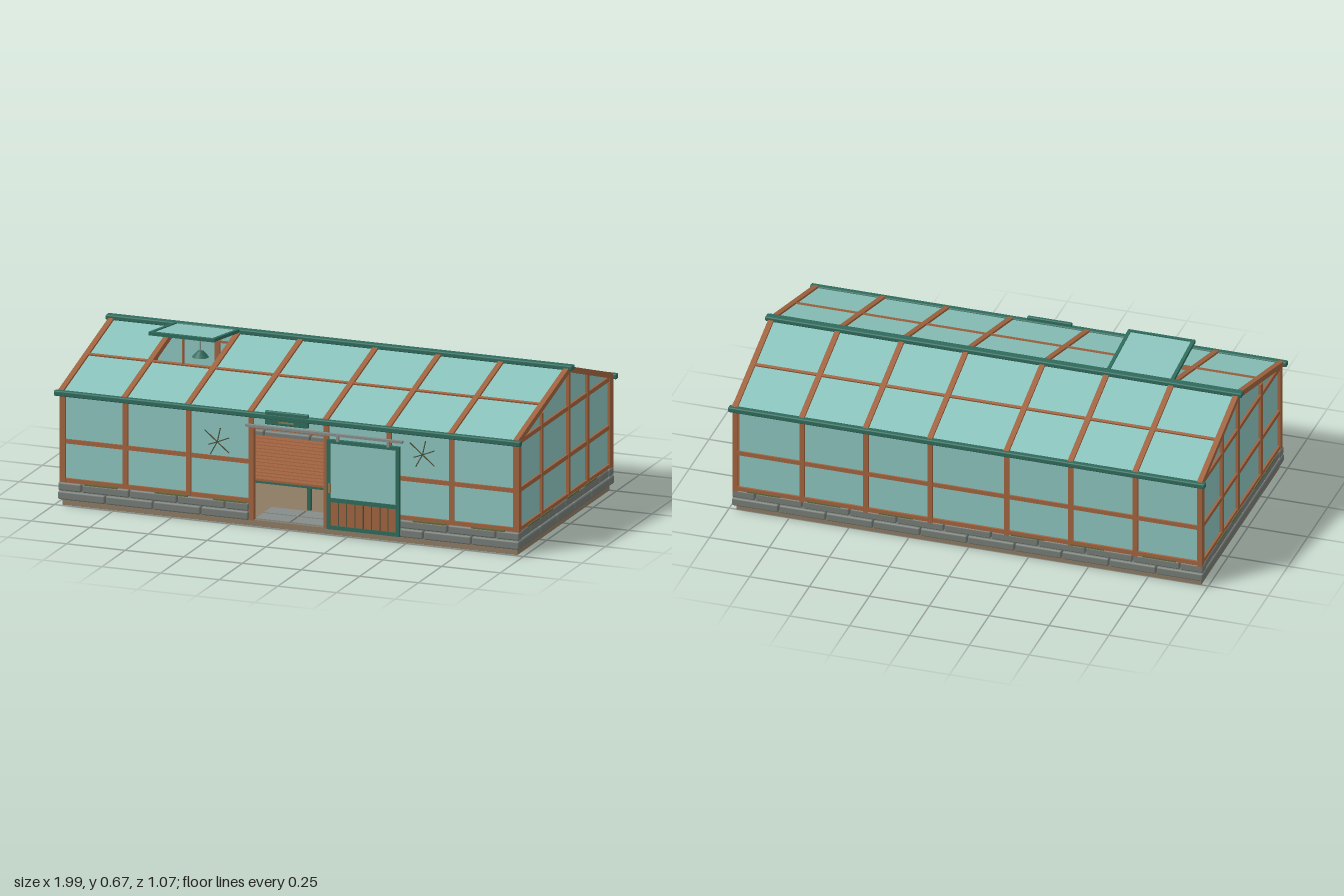
import * as THREE from 'three';
import { RoundedBoxGeometry } from 'three/addons/geometries/RoundedBoxGeometry.js';

export function createModel() {
  const root = new THREE.Group();
  root.name = 'greenhouse';
  const mat = (name, color) => {
    const m = new THREE.MeshStandardMaterial({ color });
    m.name = name;
    return m;
  };
  const glass = mat('glass', 0x8ac2bc), wood = mat('wood', 0xa0633f), green = mat('greenPaint', 0x2f6b5c),
    stone = mat('stone', 0x747b75), earth = mat('earth', 0x8c7a63), moss = mat('moss', 0x66653a),
    metal = mat('metal', 0x858c8a), dark = mat('crackLine', 0x4b5138), brass = mat('brass', 0x8f7c4c);

  const group = (name, parent = root) => {
    const g = new THREE.Group();
    g.name = name;
    parent.add(g);
    return g;
  };
  const add = (parent, name, geo, m, x = 0, y = 0, z = 0) => {
    const mesh = new THREE.Mesh(geo, m);
    mesh.name = name;
    mesh.position.set(x, y, z);
    parent.add(mesh);
    return mesh;
  };
  // Box given by its limits on each axis
  const box = (p, name, m, x0, x1, y0, y1, z0, z1) =>
    add(p, name, new THREE.BoxGeometry(x1 - x0, y1 - y0, z1 - z0), m, (x0 + x1) / 2, (y0 + y1) / 2, (z0 + z1) / 2);
  // Slab sloping between two [z, y] points
  const slope = (p, name, m, x0, x1, a, b, t) => {
    const dz = b[0] - a[0], dy = b[1] - a[1];
    const s = add(p, name, new THREE.BoxGeometry(x1 - x0, t, Math.hypot(dz, dy)), m,
      (x0 + x1) / 2, (a[1] + b[1]) / 2, (a[0] + b[0]) / 2);
    s.rotation.x = Math.atan(-dy / dz);
    return s;
  };

  const bays = [-0.97, -0.7, -0.43, -0.163, 0.157, 0.425, 0.692, 0.97];
  const ridge = [-0.05, 0.622], frontEave = [0.505, 0.468], backEave = [-0.52, 0.468];
  const along = (a, z) => [z, a[1] + (ridge[1] - a[1]) * (z - a[0]) / (ridge[0] - a[0])];

  // Floor and flagstone path
  box(root, 'floor', earth, -0.97, 0.97, 0, 0.025, -0.5, 0.49);
  const path = group('path');
  for (let i = 0; i < 2; i++)
    for (let j = 0; j < 2; j++)
      box(path, 'flagstone', metal, -0.15 + i * 0.155, -0.005 + i * 0.155, 0.024, 0.03, 0.31 + j * 0.09, 0.39 + j * 0.09);

  // Two staggered courses of bevelled stones
  const base = group('stoneBase');
  const course = (from, to, fixed, y, h, shift, alongX) => {
    const n = Math.max(1, Math.round((to - from) / 0.19));
    const step = (to - from) / n;
    const cuts = [from];
    for (let i = shift ? 0.5 : 1; i < n; i++) cuts.push(from + i * step);
    cuts.push(to);
    for (let i = 0; i + 1 < cuts.length; i++) {
      const len = cuts[i + 1] - cuts[i] - 0.003, mid = (cuts[i] + cuts[i + 1]) / 2;
      const d = shift ? 0.046 : 0.052;
      add(base, 'stone', new RoundedBoxGeometry(alongX ? len : d, h, alongX ? d : len, 1, 0.007), stone,
        alongX ? mid : fixed, y, alongX ? fixed : mid);
    }
  };
  [[0.043, 0.035, false], [0.079, 0.034, true]].forEach(([y, h, shift]) => {
    course(-0.985, 0.985, -0.495, y, h, shift, true);
    course(-0.985, -0.17, 0.483, y, h, shift, true);
    course(0.165, 0.985, 0.483, y, h, shift, true);
    for (const s of [-1, 1]) course(-0.47, 0.458, s * 0.957, y, h, shift, false);
  });

  // Moss on the ledges
  const mossGroup = group('moss');
  for (const s of [-1, 1])
    for (const z of [0.34, 0.2, -0.08, -0.27])
      box(mossGroup, 'mossPatch', moss, s * 0.972 - 0.01, s * 0.972 + 0.01, 0.094, 0.1, z - 0.06, z + 0.06);
  for (const x of [-0.8, -0.5, -0.25, 0.3, 0.6, 0.85])
    for (const z of x === 0.3 ? [-0.511] : [-0.511, 0.5])
      box(mossGroup, 'mossPatch', moss, x - 0.07, x + 0.07, 0.094, 0.1, z - 0.008, z + 0.008);

  // Long walls: glass, posts and rails, with the doorway left open
  const walls = group('longWalls');
  const runs = { front: [[-0.97, -0.163], [0.157, 0.97]], back: [[-0.97, 0.97]] };
  for (const [side, z] of [['front', 0.485], ['back', -0.505]]) {
    for (const [a, b] of runs[side]) {
      box(walls, side + 'Glass', glass, a, b, 0.09, 0.465, z - 0.003, z + 0.003);
      box(walls, side + 'Sill', wood, a, b, 0.095, 0.113, z - 0.012, z + 0.012);
      box(walls, side + 'Rail', wood, a, b, 0.256, 0.274, z - 0.01, z + 0.01);
    }
    for (const x of bays) box(walls, side + 'Post', wood, x - 0.01, x + 0.01, 0.09, 0.468, z - 0.013, z + 0.013);
  }
  box(walls, 'doorLintel', wood, -0.163, 0.157, 0.405, 0.42, 0.473, 0.497);
  box(walls, 'transomGlass', glass, -0.163, 0.157, 0.42, 0.465, 0.482, 0.488);
  for (const x of [-0.163, 0.157]) box(walls, 'doorJamb', wood, x - 0.01, x + 0.01, 0.025, 0.1, 0.472, 0.498);

  // Gable ends
  const gable = new THREE.Shape([[0.49, 0.09], [0.49, 0.468], [-0.05, 0.62], [-0.505, 0.468], [-0.505, 0.09]]
    .map(([z, y]) => new THREE.Vector2(z, y)));
  for (const s of [-1, 1]) {
    const g = group(s > 0 ? 'leftGable' : 'rightGable');
    const geo = new THREE.ExtrudeGeometry(gable, { depth: 0.006, bevelEnabled: false });
    geo.rotateY(-Math.PI / 2);
    add(g, 'gableGlass', geo, glass, s * 0.965 + 0.003);
    const x0 = s * 0.967 - 0.012, x1 = s * 0.967 + 0.012;
    for (const [z, top, w] of [[0.485, 0.468, 0.026], [0.24, 0.52, 0.02], [-0.05, 0.615, 0.02], [-0.25, 0.553, 0.02], [-0.497, 0.468, 0.026]])
      box(g, 'gablePost', wood, x0, x1, 0.085, top, z - w / 2, z + w / 2);
    for (const [y, h] of [[0.104, 0.016], [0.265, 0.018], [0.464, 0.018]])
      box(g, 'gableRail', wood, x0 + 0.002, x1 - 0.002, y - h / 2, y + h / 2, -0.495, 0.483);
  }

  // Roof glass, leaving the vent bay open near the ridge
  const roof = group('roof');
  const ventLow = along(frontEave, 0.225);
  slope(roof, 'backRoofGlass', glass, -0.97, 0.97, backEave, ridge, 0.006);
  slope(roof, 'frontRoofGlass', glass, -0.97, -0.7, frontEave, ridge, 0.006);
  slope(roof, 'frontRoofGlass', glass, -0.43, 0.97, frontEave, ridge, 0.006);
  slope(roof, 'belowVentGlass', glass, -0.7, -0.43, frontEave, ventLow, 0.006);
  for (const x of bays)
    for (const e of [frontEave, backEave]) slope(roof, 'rafter', wood, x - 0.011, x + 0.011, e, ridge, 0.023);
  for (const [e, z] of [[frontEave, 0.225], [backEave, -0.29]])
    slope(roof, 'purlin', wood, -0.97, 0.97, along(e, z - 0.006), along(e, z + 0.006), 0.018);
  add(roof, 'ridgeCap', new RoundedBoxGeometry(1.99, 0.02, 0.036, 1, 0.005), green, 0, 0.63, -0.05);
  for (const z of [0.512, -0.523])
    add(roof, 'gutter', new RoundedBoxGeometry(1.99, 0.022, 0.026, 1, 0.005), green, 0, 0.467, z);

  // Raised roof vent with its prop
  const vent = group('roofVent');
  const hinge = [-0.04, 0.633], lip = [0.23, 0.667];
  slope(vent, 'ventGlass', glass, -0.69, -0.435, lip, hinge, 0.005);
  for (const x of [-0.696, -0.43]) slope(vent, 'ventSide', green, x - 0.007, x + 0.007, lip, hinge, 0.013);
  box(vent, 'ventLip', green, -0.703, -0.423, 0.659, 0.673, 0.222, 0.236);
  box(vent, 'ventProp', wood, -0.564, -0.556, 0.545, 0.662, 0.222, 0.23);

  // Hanging lamp below the vent
  const lamp = group('lamp');
  add(lamp, 'lampShade', new THREE.CylinderGeometry(0.012, 0.034, 0.025, 12), green, -0.56, 0.545, 0.04);
  add(lamp, 'lampRod', new THREE.CylinderGeometry(0.003, 0.003, 0.05, 6), metal, -0.56, 0.58, 0.04);
  box(lamp, 'lampBar', wood, -0.7, -0.43, 0.6, 0.608, 0.036, 0.044);

  // Sliding door on its track
  const door = group('slidingDoor');
  const z0 = 0.507, z1 = 0.521;
  for (const x of [0.168, 0.462]) box(door, 'doorStile', green, x, x + 0.016, 0.03, 0.4, z0, z1);
  for (const [a, b] of [[0.03, 0.046], [0.143, 0.16], [0.385, 0.4]]) box(door, 'doorRail', green, 0.17, 0.476, a, b, z0, z1);
  box(door, 'doorGlass', glass, 0.182, 0.464, 0.158, 0.387, 0.511, 0.517);
  box(door, 'doorPanel', wood, 0.182, 0.464, 0.044, 0.145, 0.509, 0.516);
  for (let i = 1; i < 8; i++) {
    const x = 0.182 + i * 0.0353;
    box(door, 'boardGap', dark, x - 0.002, x + 0.002, 0.046, 0.143, 0.515, 0.517);
  }
  box(door, 'doorHandle', brass, 0.181, 0.189, 0.185, 0.222, 0.527, 0.538);
  for (const y of [0.19, 0.217]) box(door, 'handleStud', brass, 0.182, 0.188, y - 0.003, y + 0.003, 0.52, 0.53);
  box(door, 'doorTrack', metal, -0.18, 0.49, 0.415, 0.425, 0.505, 0.519);
  for (const x of [0.215, 0.43]) box(door, 'doorHanger', metal, x - 0.006, x + 0.006, 0.395, 0.42, 0.512, 0.523);

  // Plain board over the doorway
  const board = group('doorBoard');
  add(board, 'boardPanel', new RoundedBoxGeometry(0.186, 0.056, 0.016, 1, 0.004), green, -0.002, 0.463, 0.516);
  box(board, 'boardTrim', brass, -0.035, 0.03, 0.446, 0.452, 0.523, 0.526);

  // Slatted bench inside
  const bench = group('bench');
  for (let z = -0.26; z < 0.29; z += 0.045) box(bench, 'benchSlat', wood, -0.7, 0.7, 0.134, 0.143, z, z + 0.037);
  for (const z of [-0.255, 0.28]) {
    box(bench, 'benchRail', green, -0.7, 0.7, 0.116, 0.134, z - 0.008, z + 0.008);
    for (const x of [-0.69, 0, 0.69]) box(bench, 'benchLeg', green, x - 0.008, x + 0.008, 0.025, 0.12, z - 0.008, z + 0.008);
  }

  // Star-shaped cracks in two front panes
  for (const [cx, cy] of [[-0.31, 0.33], [0.565, 0.37]]) {
    const crack = group('glassCrack');
    [[0.4, 0.055], [1.35, 0.06], [2.45, 0.07], [3.5, 0.04], [4.2, 0.06], [5.6, 0.065]].forEach(([a, len]) => {
      const c = add(crack, 'crackLine', new THREE.BoxGeometry(len, 0.004, 0.003), dark,
        cx + Math.cos(a) * len / 2, cy + Math.sin(a) * len / 2, 0.489);
      c.rotation.z = a;
    });
  }
  return root;
}
